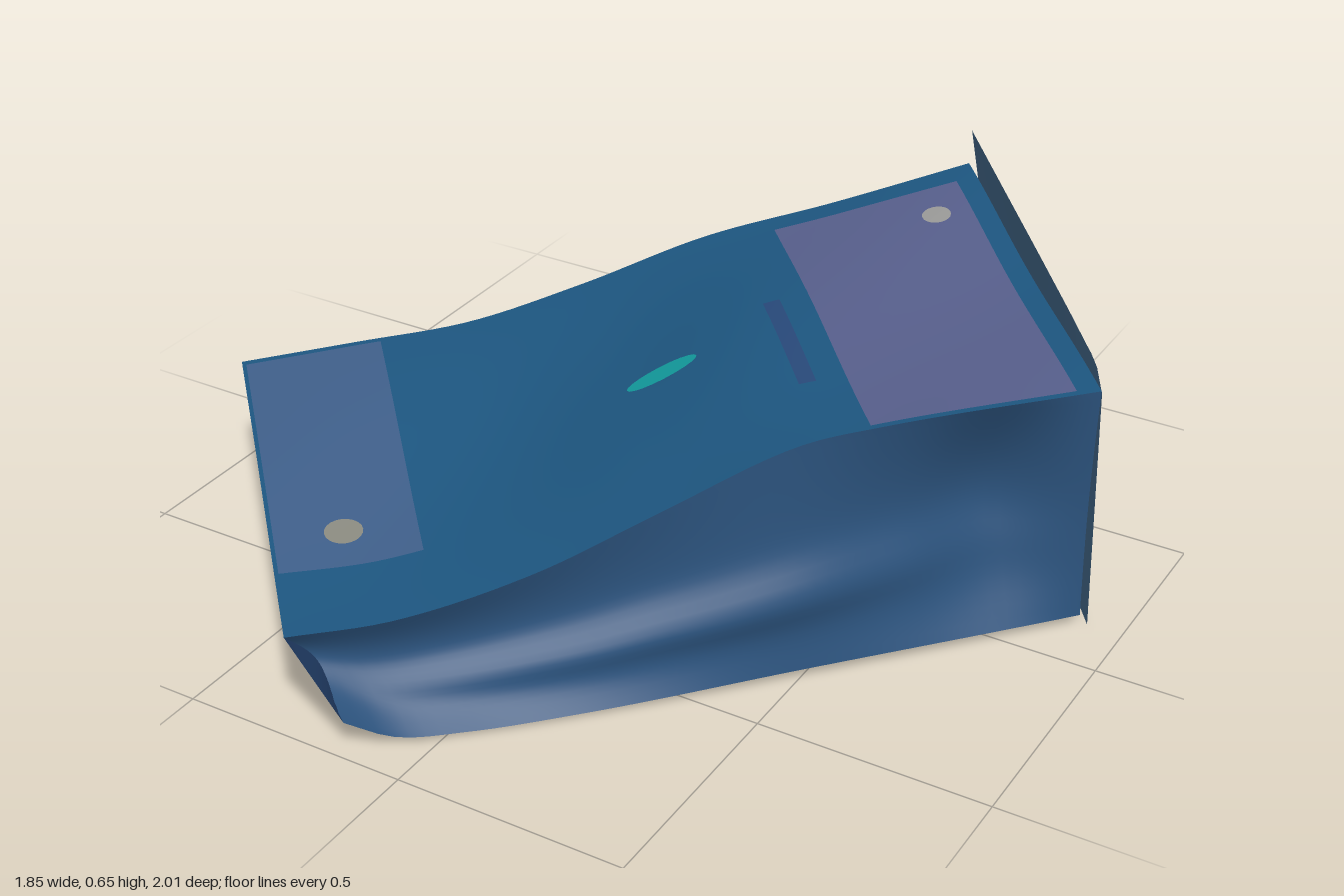
import * as THREE from 'three';

// smooth curve through [position, value] pairs
function curve(...pts) {
  const c = new THREE.CubicInterpolant(pts.map(p => p[0]), pts.map(p => p[1]), 1);
  return s => c.evaluate(THREE.MathUtils.clamp(s, 0, 1))[0];
}
const lerp = THREE.MathUtils.lerp;
const V = (x, y, z) => new THREE.Vector3(x, y, z);
const ALONG = V(0.7, 0, -0.71), ACROSS = V(0.71, 0, 0.7);

// heights of the four long edges, s = 0 at the low end, 1 at the tall end
const topRight = curve([0, 0.31], [0.15, 0.33], [0.3, 0.35], [0.45, 0.41], [0.62, 0.49], [0.8, 0.53], [1, 0.58]);
const topLeft = curve([0, 0.24], [0.13, 0.245], [0.3, 0.31], [0.45, 0.41], [0.62, 0.52], [0.72, 0.54], [1, 0.56]);
const lowRight = curve([0, 0.13], [0.06, 0.08], [0.15, 0.04], [0.3, 0.02], [0.6, 0.02], [1, 0.03]);
const lowLeft = curve([0, 0.08], [0.06, 0.03], [0.15, 0.015], [0.3, 0.015], [0.6, 0.03], [1, 0.03]);
// how far the gussets fold inwards, and how far the lower left edge swells out
const foldRight = curve([0, 0.05], [0.2, 0.08], [0.5, 0.09], [0.8, 0.08], [1, 0.02]);
const foldLeft = curve([0, 0.06], [0.2, 0.06], [0.4, 0.04], [0.6, 0.015], [0.75, 0.05], [0.88, 0.09], [1, 0.01]);

function topEdge(s, left) {
  return left
    ? V(lerp(-0.25, 0.91, s), topLeft(s), lerp(1, -0.13, s))
    : V(lerp(-0.92, 0.25, s), topRight(s), lerp(0.29, -0.94, s))
      .addScaledVector(ACROSS, 0.03 * Math.sin(Math.PI * s));
}
function lowEdge(s, left) {
  return left
    ? V(lerp(-0.13, 0.91, s), lowLeft(s), lerp(0.99, -0.13, s))
      .addScaledVector(ACROSS, 0.02 * Math.sin(Math.PI * s))
    : V(lerp(-0.84, 0.3, s), lowRight(s), lerp(0.25, -0.91, s))
      .addScaledVector(ACROSS, 0.03 * Math.sin(Math.PI * s));
}

// film surfaces
function topPoint(s, t) {
  const p = topEdge(s, false).lerp(topEdge(s, true), t);
  p.y += Math.sin(Math.PI * t) * 0.012 * Math.sin(s * 9 + t * 4);
  return p;
}
function bottomPoint(s, t) {
  const p = lowEdge(s, false).lerp(lowEdge(s, true), t);
  p.y = Math.max(0.003, p.y - 0.015 * Math.sin(Math.PI * t));
  return p;
}
function rightPoint(s, w) {
  const fold = Math.pow(1 - Math.abs(w - 0.5) * 2, 0.9);
  return lowEdge(s, false).lerp(topEdge(s, false), w).addScaledVector(ACROSS, foldRight(s) * fold);
}
function leftPoint(s, w) {
  // hollow below the top edge, with a soft ridge running along the lower third
  const hollow = Math.sin(Math.PI * w) * foldLeft(s);
  const ridge = 0.035 * Math.exp(-Math.pow((w - 0.35) / 0.13, 2)) * Math.sin(Math.PI * s);
  return lowEdge(s, true).lerp(topEdge(s, true), w).addScaledVector(ACROSS, ridge - hollow);
}
function frontPoint(t, w) {
  return bottomPoint(0, t).lerp(topPoint(0, t), w)
    .addScaledVector(ALONG, 0.07 * Math.sin(Math.PI * w) * Math.sin(Math.PI * t));
}
const panelTop = curve([0, 0.655], [0.3, 0.635], [0.6, 0.615], [0.88, 0.592], [0.96, 0.58], [1, 0.545]);
function panelPoint(t, w) {
  const low = V(lerp(0.3, 0.92, t), 0.008, lerp(-1, -0.13, t));
  const high = V(lerp(0.24, 0.9, t), panelTop(t), lerp(-0.95, -0.14, t));
  const p = low.lerp(high, w);
  // hourglass sides and a gentle outward belly
  p.addScaledVector(ACROSS, 0.04 * Math.sin(Math.PI * w) * Math.pow(1 - t, 3));
  return p.addScaledVector(ALONG, 0.03 * Math.sin(Math.PI * w) * Math.sin(Math.PI * t) + 0.008);
}

// grid of points a, b in 0..1; the face looks along (d/da x d/db)
function sheet(name, color, fn, na, nb) {
  const pos = [], idx = [];
  for (let i = 0; i <= na; i++) {
    for (let j = 0; j <= nb; j++) {
      const p = fn(i / na, j / nb);
      pos.push(p.x, p.y, p.z);
      if (i < na && j < nb) {
        const k = i * (nb + 1) + j, n = k + nb + 1;
        idx.push(k, n, n + 1, k, n + 1, k + 1);
      }
    }
  }
  const g = new THREE.BufferGeometry();
  g.setAttribute('position', new THREE.Float32BufferAttribute(pos, 3));
  g.setIndex(idx);
  g.computeVertexNormals();
  const m = new THREE.Mesh(g, new THREE.MeshStandardMaterial({ color, side: THREE.DoubleSide }));
  m.name = name;
  return m;
}

// printed area lying just above the top film
function label(name, color, s0, s1, t0, t1, lift = 0.003) {
  return sheet(name, color, (a, b) => {
    const p = topPoint(lerp(s0, s1, a), lerp(t0, t1, 1 - b));
    p.y += lift;
    return p;
  }, 12, 16);
}
function spot(name, color, s, t, rs, rt) {
  return sheet(name, color, (a, b) => {
    const q = b * Math.PI * 2;
    const p = topPoint(s + a * rs * Math.cos(q), t - a * rt * Math.sin(q));
    p.y += 0.006;
    return p;
  }, 2, 20);
}

export function createModel() {
  const bag = new THREE.Group();
  bag.name = 'crumpledBag';
  bag.add(
    sheet('topFilm', 0x1d5680, (a, b) => topPoint(a, 1 - b), 48, 24),
    sheet('bottomFilm', 0x43221f, (a, b) => bottomPoint(a, b), 48, 16),
    sheet('rightGusset', 0x284c74, (a, b) => rightPoint(a, b), 48, 16),
    sheet('leftGusset', 0x2b527c, (a, b) => leftPoint(a, 1 - b), 48, 24),
    sheet('frontEnd', 0x1f3a62, (a, b) => frontPoint(a, b), 20, 10),
    sheet('backPanel', 0x43688a, (a, b) => panelPoint(1 - a, b), 24, 16),
    // printed areas
    label('backLabel', 0x575f8c, 0.71, 0.97, 0.07, 0.99),
    label('frontLabel', 0x3f5f8a, 0.005, 0.18, 0.02, 0.8),
    label('darkBand', 0x28497a, 0.65, 0.672, 0.42, 0.78),
    spot('tealMark', 0x129a9c, 0.505, 0.53, 0.045, 0.028),
    spot('backDot', 0x9a9a98, 0.92, 0.2, 0.02, 0.036),
    spot('frontDot', 0x8a8a80, 0.09, 0.69, 0.024, 0.04)
  );
  return bag;
}
